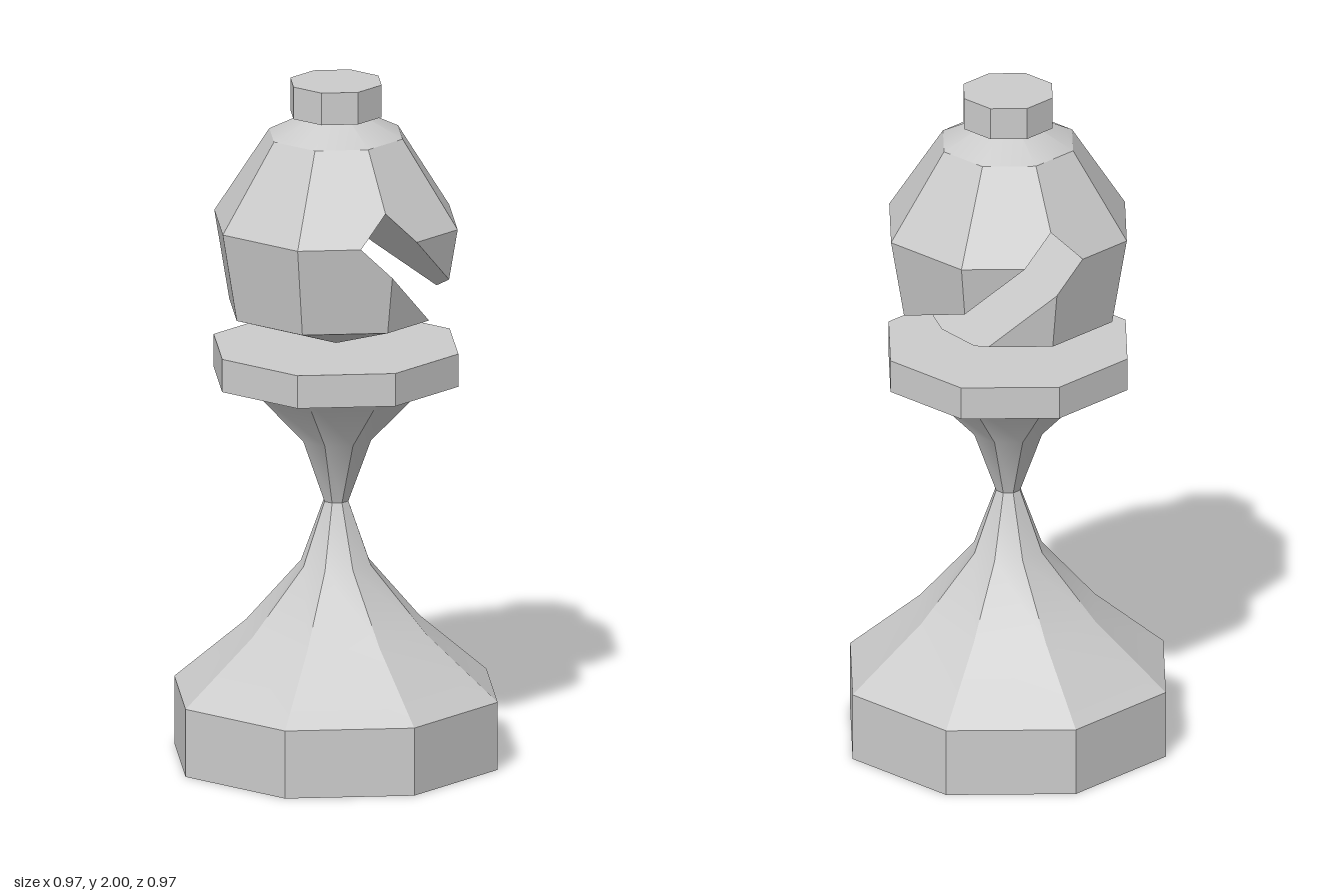
import * as THREE from 'three';
import { toCreasedNormals } from 'three/addons/utils/BufferGeometryUtils.js';

const SIDES = 8;
const material = new THREE.MeshStandardMaterial({ color: 0xcccccc });
const v3 = (x, y, z) => new THREE.Vector3(x, y, z);

function part(name, geometry) {
  const mesh = new THREE.Mesh(toCreasedNormals(geometry, 0.5), material);
  mesh.name = name;
  return mesh;
}

// Eight-sided turned shape from [radius, height] pairs, bottom to top
function turned(name, profile) {
  const points = profile.map(([r, y]) => new THREE.Vector2(r, y));
  return part(name, new THREE.LatheGeometry(points, SIDES).toNonIndexed());
}

// Part of a convex polygon on the side where normal . p >= d
function clip(poly, normal, d) {
  const out = [];
  poly.forEach((a, i) => {
    const b = poly[(i + 1) % poly.length];
    const da = normal.dot(a) - d, db = normal.dot(b) - d;
    if (da >= 0) out.push(a);
    if (da * db < 0) out.push(a.clone().lerp(b, da / (da - db)));
  });
  return out;
}

// Flat faces of the uncut head, counter-clockwise from outside
function headFaces() {
  const profile = [[0, 1.225], [0.32, 1.33], [0.365, 1.59], [0.2, 1.845], [0, 1.945]];
  const at = (k, [r, y]) => {
    const a = (k * Math.PI * 2) / SIDES;
    return v3(r * Math.sin(a), y, r * Math.cos(a));
  };
  const faces = [];
  for (let j = 0; j < profile.length - 1; j++) {
    const [low, high] = [profile[j], profile[j + 1]];
    for (let k = 0; k < SIDES; k++) {
      const face = [at(k, low)];
      if (low[0]) face.push(at(k + 1, low));
      face.push(at(k + 1, high));
      if (high[0]) face.push(at(k, high));
      faces.push(face);
    }
  }
  return faces;
}

// Head with a diagonal slot running right through from front to back
function slottedHead() {
  const faces = headFaces();
  const up = v3(1, 1, 0), down = v3(-1, -1, 0), inward = v3(-1, 1, 0);
  const polys = [];

  // Outer skin: above the slot, below it, and beyond its closed end
  for (const f of faces) {
    polys.push(clip(f, up, 1.68), clip(f, down, -1.5));
    polys.push(clip(clip(clip(f, up, 1.5), down, -1.68), inward, 1.68));
  }

  // Slot walls, trimmed to the head
  const outline = [[0.61, 0.89], [-0.09, 1.59], [0, 1.68], [0.7, 0.98]];
  for (let i = 0; i < 3; i++) {
    const [a, b] = [outline[i], outline[i + 1]];
    let wall = [v3(...a, -0.6), v3(...b, -0.6), v3(...b, 0.6), v3(...a, 0.6)];
    for (const [p, q, r] of faces) {
      const n = q.clone().sub(p).cross(r.clone().sub(p)).negate();
      wall = clip(wall, n, n.dot(p));
    }
    polys.push(wall);
  }

  const positions = [];
  for (const p of polys) {
    for (let i = 1; i < p.length - 1; i++) {
      for (const v of [p[0], p[i], p[i + 1]]) positions.push(v.x, v.y, v.z);
    }
  }
  const geometry = new THREE.BufferGeometry();
  geometry.setAttribute('position', new THREE.Float32BufferAttribute(positions, 3));
  return part('head', geometry);
}

export function createModel() {
  const group = new THREE.Group();
  group.name = 'chessBishop';
  group.add(
    turned('base', [[0, 0], [0.485, 0], [0.485, 0.2]]),
    turned('stem', [[0.485, 0.2], [0.27, 0.385], [0.105, 0.575], [0.037, 0.76],
      [0.105, 0.945], [0.275, 1.125]]),
    turned('collar', [[0, 1.125], [0.367, 1.125], [0.367, 1.222], [0, 1.222]]),
    slottedHead(),
    turned('finial', [[0, 1.905], [0.137, 1.905], [0.137, 2], [0, 2]])
  );
  return group;
}
